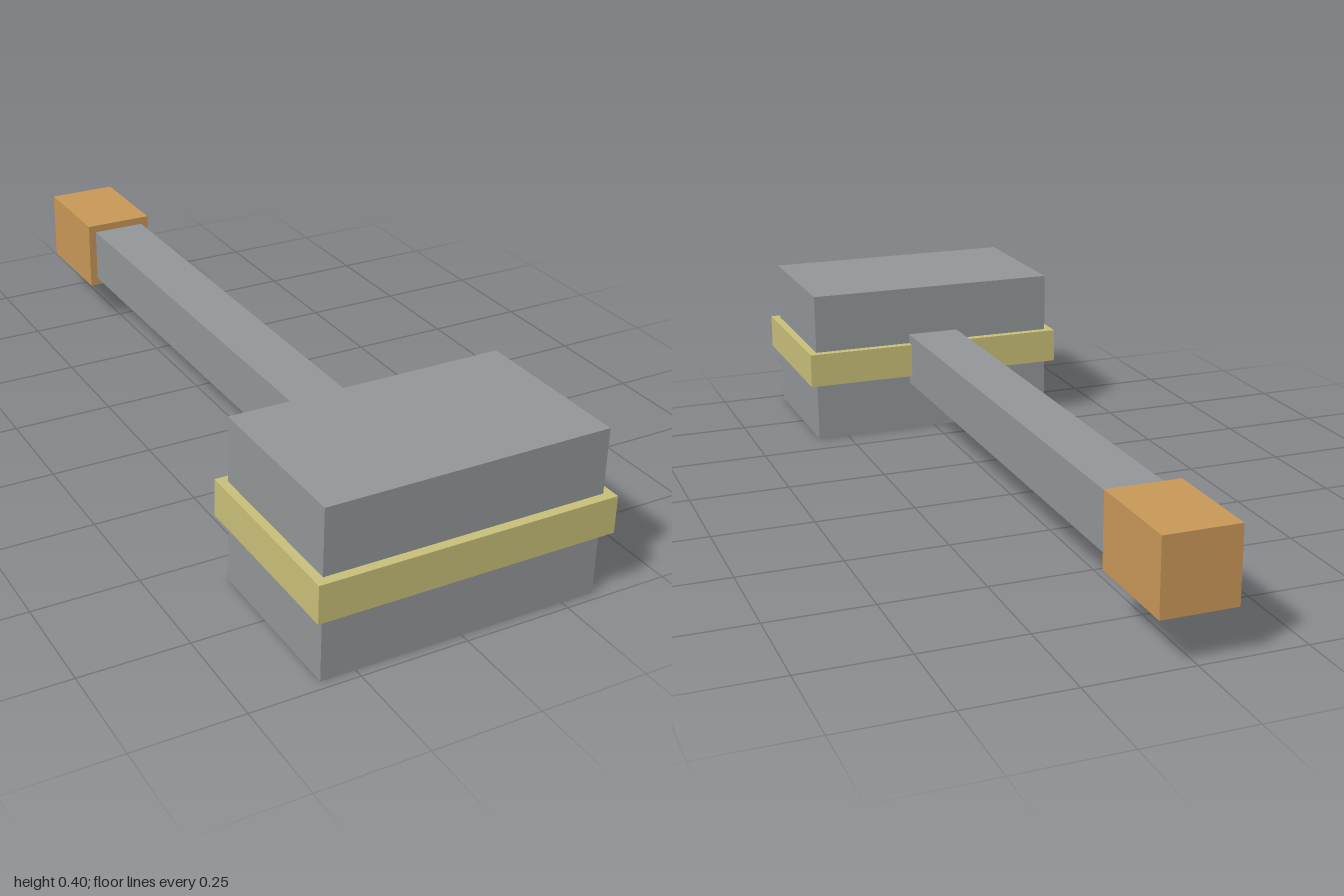
import * as THREE from 'three';

export function createModel() {
  const hammer = new THREE.Group();
  hammer.name = 'hammer';

  const steel = new THREE.MeshStandardMaterial({ color: 0x939799 });
  steel.name = 'steel grey';
  const brass = new THREE.MeshStandardMaterial({ color: 0xc9c079 });
  brass.name = 'pale gold';
  const leather = new THREE.MeshStandardMaterial({ color: 0xc99858 });
  leather.name = 'tan';

  // Box centred on x, spanning y0..y1 and z0..z1
  const block = (name, material, width, y0, y1, z0, z1) => {
    const mesh = new THREE.Mesh(new THREE.BoxGeometry(width, y1 - y0, z1 - z0), material);
    mesh.position.set(0, (y0 + y1) / 2, (z0 + z1) / 2);
    mesh.name = name;
    hammer.add(mesh);
  };

  block('head', steel, 0.66, 0, 0.396, 0.583, 0.978);
  block('headBand', brass, 0.702, 0.155, 0.243, 0.562, 1);
  // The shaft runs into the head and the grip
  block('shaft', steel, 0.137, 0.13, 0.268, -0.76, 0.62);
  block('grip', leather, 0.176, 0.111, 0.287, -1, -0.738);

  return hammer;
}
